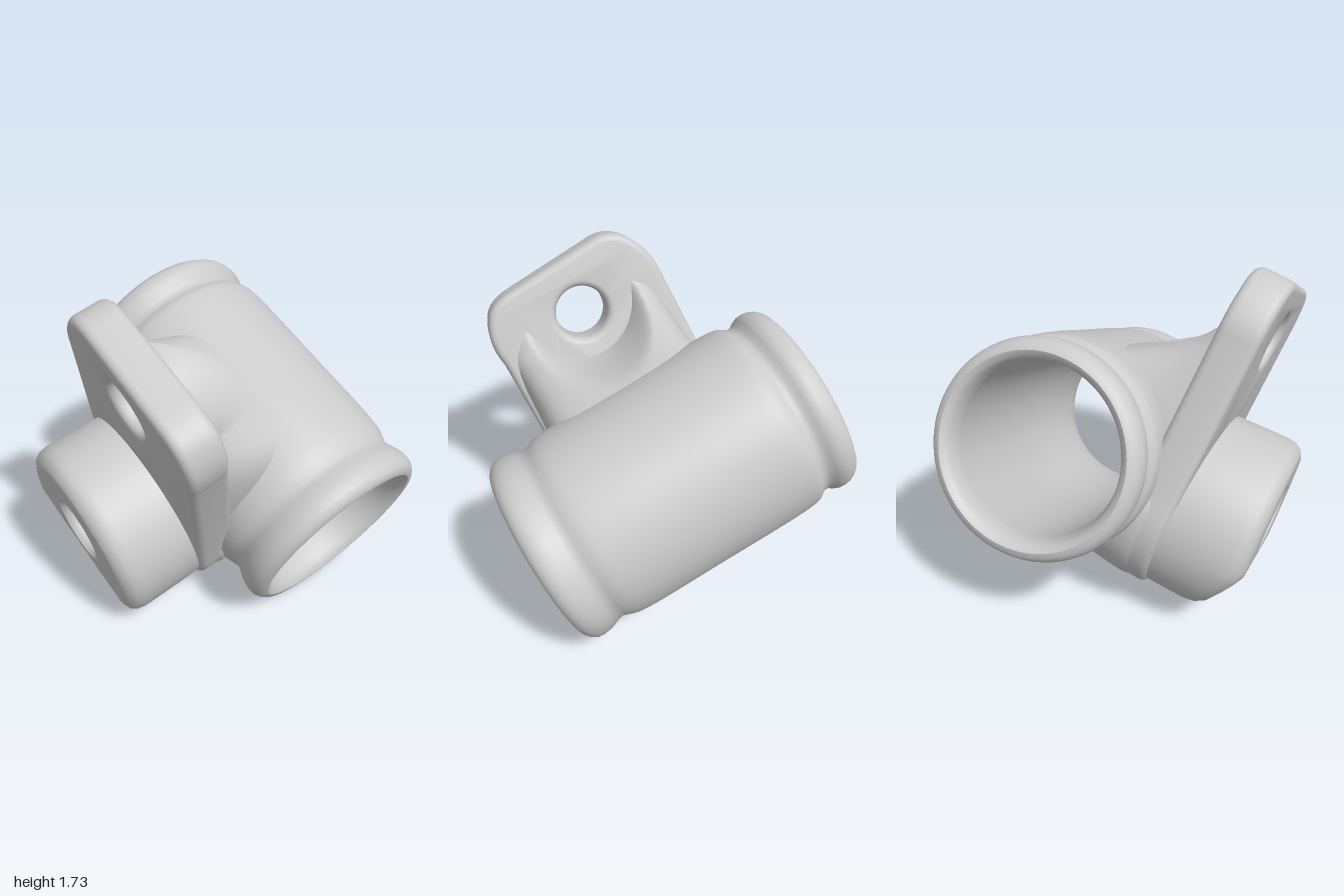
import * as THREE from 'three';
import { toCreasedNormals } from 'three/addons/utils/BufferGeometryUtils.js';

const grey = new THREE.MeshStandardMaterial({ color: 0xcccccc, side: THREE.DoubleSide });
const HOLE_Y = 0.09, HOLE_R = 0.145;   // bore through the boss
const LUG_X = -0.03, LUG_Y = 0.89;     // centre of the lug hole
const AXIS_Y = 0.05, AXIS_Z = -0.65;   // sleeve axis as met in the lug frame

function addMesh(parent, name, geometry) {
  const mesh = new THREE.Mesh(toCreasedNormals(geometry, 0.7), grey);
  mesh.name = name;
  parent.add(mesh);
}

// Move every vertex of a geometry by a rule
function deform(geometry, rule) {
  const p = geometry.attributes.position, v = new THREE.Vector3();
  for (let i = 0; i < p.count; i++) {
    rule(v.fromBufferAttribute(p, i));
    p.setXYZ(i, v.x, v.y, v.z);
  }
  return geometry;
}

// Cut a round hole along z through the near side, snapping its rim to the circle
function cutHole(geometry, x, y, r) {
  const pos = geometry.attributes.position, index = geometry.index.array, kept = [];
  const c = new THREE.Vector3(), v = new THREE.Vector3();
  for (let i = 0; i < index.length; i += 3) {
    c.set(0, 0, 0);
    for (let k = 0; k < 3; k++) c.add(v.fromBufferAttribute(pos, index[i + k]));
    c.divideScalar(3);
    if (c.z > -0.45 && Math.hypot(c.x - x, c.y - y) < r) continue;
    kept.push(index[i], index[i + 1], index[i + 2]);
  }
  geometry.setIndex(kept);
  return deform(geometry, p => {
    const d = Math.hypot(p.x - x, p.y - y);
    if (p.z < -0.45 || d >= r || d === 0) return;
    p.x = x + (p.x - x) * r / d;
    p.y = y + (p.y - y) * r / d;
  });
}

// Hollow sleeve along x with a bead at each end and an opening into the boss
function sleeveGeometry(mountMatrix) {
  const profile = [
    [0.40, -0.70], [0.42, -0.77], [0.45, -0.79], [0.485, -0.77], [0.507, -0.72], [0.503, -0.67],
    [0.478, -0.63], [0.478, -0.60], [0.505, -0.56], [0.515, -0.50], [0.518, 0], [0.51, 0.50],
    [0.495, 0.55], [0.483, 0.59], [0.495, 0.62], [0.513, 0.68], [0.512, 0.735], [0.49, 0.77],
    [0.46, 0.785], [0.425, 0.765], [0.40, 0.70], [0.41, 0], [0.40, -0.70],
  ].map(([r, y]) => new THREE.Vector3(r, y, 0));
  const points = new THREE.CatmullRomCurve3(profile, false, 'centripetal')
    .getSpacedPoints(120).map(p => new THREE.Vector2(p.x, p.y));
  const geo = new THREE.LatheGeometry(points, 88).rotateZ(-Math.PI / 2);
  geo.applyMatrix4(mountMatrix.clone().invert());
  return cutHole(geo, 0, HOLE_Y, HOLE_R).applyMatrix4(mountMatrix);
}

// Mounting plate: round foot behind the boss, upright lug with a hole
function plateGeometry() {
  const s = new THREE.Shape();
  s.absarc(0, 0, 0.46, Math.PI, 2 * Math.PI, false);
  s.lineTo(0.42, 0.86);
  s.quadraticCurveTo(0.44, 0.99, 0.37, 1.08);
  s.quadraticCurveTo(0.33, 1.13, 0.22, 1.13);
  s.lineTo(-0.26, 1.15);
  s.quadraticCurveTo(-0.36, 1.15, -0.41, 1.06);
  s.quadraticCurveTo(-0.47, 0.96, -0.46, 0.86);
  s.closePath();
  for (const [x, y, r] of [[0, HOLE_Y, 0.21], [LUG_X, LUG_Y, 0.17]]) {
    const hole = new THREE.Path();
    hole.absarc(x, y, r, 0, 2 * Math.PI, true);
    s.holes.push(hole);
  }
  const geo = new THREE.ExtrudeGeometry(s, {
    depth: 0.12, bevelThickness: 0.04, bevelSize: 0.035, bevelSegments: 4, curveSegments: 32,
  });
  return geo.translate(0, 0, -0.16);
}

// Round boss: offset bore, sloped lower face with a shallow dimple
function bossGeometry() {
  const pts = [[0.465, -0.12], [0.472, 0.1], [0.472, 0.31], [0.464, 0.35], [0.444, 0.38], [0.41, 0.395]];
  for (let i = 0; i <= 24; i++) pts.push([0.395 - i * 0.0094, 0.4]);
  pts.push([0.155, 0.385], [HOLE_R, 0.36], [HOLE_R, 0.1], [HOLE_R, -0.26]);
  const geo = new THREE.LatheGeometry(pts.map(p => new THREE.Vector2(...p)), 80).rotateX(Math.PI / 2);
  return deform(geo, v => {
    const r = Math.hypot(v.x, v.y);
    v.y += HOLE_Y * THREE.MathUtils.clamp((0.43 - r) / 0.25, 0, 1);
    if (v.z < 0.2) return;
    const d = Math.hypot(v.x - 0.08, v.y + 0.25) / 0.13;
    v.z -= 0.45 * Math.max(0, -0.13 - v.y) + 0.07 * Math.max(0, 1 - d * d) ** 1.5;
  });
}

// Depth at which the sleeve wall starts, so that blends stay out of its bore
function wallDepth(y) {
  return -AXIS_Z - Math.sqrt(Math.max(0, 0.45 ** 2 - (y - AXIS_Y) ** 2));
}

// Web sweeping from the sleeve up the back of the lug, relieved around its hole
function upperWebGeometry() {
  const y0 = 0.30, y1 = 1.08;
  const geo = new THREE.PlaneGeometry(2, y1 - y0, 60, 48).rotateY(Math.PI);
  geo.translate(0, (y0 + y1) / 2, 0);
  deform(geo, v => {
    const edge = 1 - Math.min(1, Math.abs(v.x)) ** 5;
    const drop = Math.max(0, y1 - v.y);
    v.x *= Math.min(0.44, 0.37 + 0.3 * drop);
    const spot = THREE.MathUtils.smoothstep(Math.hypot(v.x - LUG_X, v.y - LUG_Y), 0.2, 0.3);
    const depth = 0.1 + (0.09 + 0.44 * (drop / 0.52) ** 2.1) * edge * spot;
    v.z = -Math.max(0.08, Math.min(wallDepth(v.y), depth));
    v.x *= 1 + 0.4 * (-v.z - 0.08);
  });
  return cutHole(geo, LUG_X, LUG_Y, 0.19);
}

// Round neck joining the foot of the plate to the sleeve
function neckGeometry() {
  const profile = [[0.36, -0.61], [0.42, -0.56], [0.46, -0.49], [0.485, -0.41], [0.497, -0.3],
    [0.503, -0.2], [0.502, -0.12], [0.48, -0.07]].map(p => new THREE.Vector2(...p));
  const points = new THREE.SplineCurve(profile).getSpacedPoints(30);
  const geo = new THREE.LatheGeometry(points, 80).rotateX(Math.PI / 2);
  return deform(geo, v => {
    v.z = Math.max(v.z, -Math.max(0.08, wallDepth(v.y)));
    if (v.y > 0) v.x *= 1 - 0.06 * Math.min(1, v.y / 0.3);
  });
}

export function createModel() {
  const model = new THREE.Group();
  model.name = 'tubeFitting';

  // Sleeve frame: x along the sleeve, z out through the boss
  const x = new THREE.Vector3(0.94, -0.57, 0.98).normalize();
  const z = new THREE.Vector3(-0.98, 0, 0.94).normalize();
  const y = new THREE.Vector3().crossVectors(z, x);
  const body = new THREE.Group();
  body.name = 'body';
  body.applyMatrix4(new THREE.Matrix4().makeBasis(x, y, z).setPosition(0.09, 0.755, -0.12));
  model.add(body);

  // Boss frame tips slightly downward; the lug leans out a little more
  const mount = new THREE.Group();
  mount.name = 'mount';
  mount.position.set(0, -0.25, 0.59);
  mount.rotation.x = 0.235;
  mount.updateMatrix();
  body.add(mount);
  const lug = new THREE.Group();
  lug.name = 'lug';
  lug.rotation.x = 0.08;
  mount.add(lug);

  addMesh(body, 'sleeve', sleeveGeometry(mount.matrix));
  addMesh(mount, 'boss', bossGeometry());
  addMesh(lug, 'lugPlate', plateGeometry());
  addMesh(lug, 'upperWeb', upperWebGeometry());
  addMesh(lug, 'neck', neckGeometry());

  return model;
}
